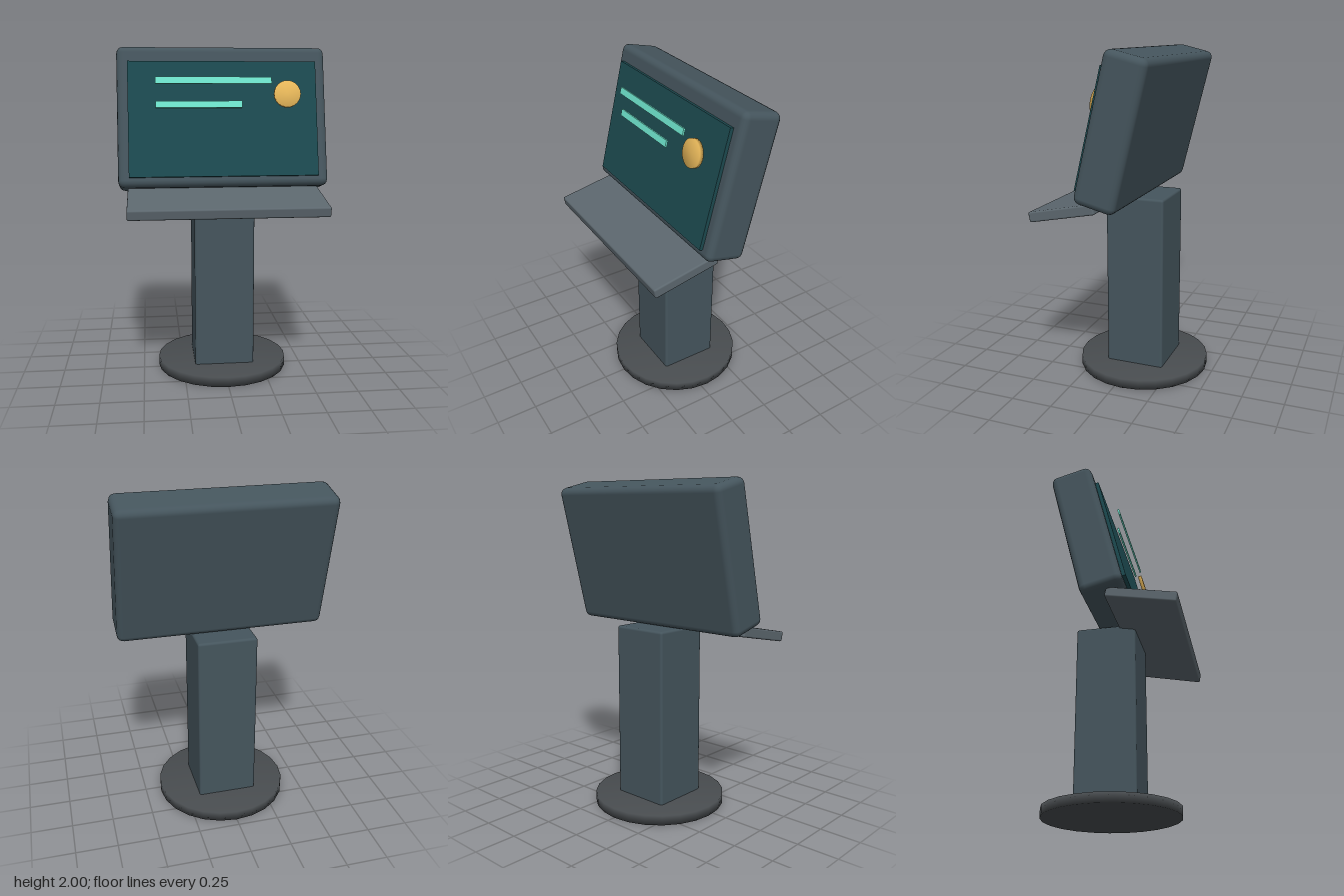
import * as THREE from 'three';
import { RoundedBoxGeometry } from 'three/addons/geometries/RoundedBoxGeometry.js';
import { mergeVertices } from 'three/addons/utils/BufferGeometryUtils.js';

const HEAD_TILT = -0.24; // leans back
const SHELF_TILT = 0.2; // slopes down to the front

const paint = (color) => new THREE.MeshStandardMaterial({ color });

// Disc with normals shared across the rim, for a soft pillowy shading
function softDisc(radius, height) {
  const g = new THREE.CylinderGeometry(radius, radius, height, 24);
  g.deleteAttribute('normal');
  g.deleteAttribute('uv');
  const soft = mergeVertices(g);
  soft.computeVertexNormals();
  return soft;
}

export function createModel() {
  const model = new THREE.Group();
  model.name = 'kiosk';
  const casing = paint(0x45555d);
  const glow = paint(0x70e8d0);

  function add(name, geometry, material, x, y, z, tilt = 0) {
    const mesh = new THREE.Mesh(geometry, material);
    mesh.name = name;
    mesh.position.set(x, y, z);
    mesh.rotation.x = tilt;
    model.add(mesh);
    return mesh;
  }

  // Stand
  add('base', softDisc(0.405, 0.058), paint(0x484c4f), 0, 0.029, -0.045);
  add('column', new RoundedBoxGeometry(0.365, 1.08, 0.362, 2, 0.015), casing, 0, 0.587, -0.045);

  // Sloping shelf below the display
  add('shelf', new RoundedBoxGeometry(1.155, 0.061, 0.409, 2, 0.01), paint(0x5c676e), 0, 1.1, 0.243, SHELF_TILT);

  // Display housing and its screen, slightly proud of the front
  const housing = add('housing', new RoundedBoxGeometry(1.265, 0.851, 0.251, 2, 0.04), casing, 0, 1.563, -0.071, HEAD_TILT);
  const screen = new THREE.Mesh(new THREE.BoxGeometry(1.135, 0.695, 0.04), paint(0x1c4a50));
  screen.name = 'screen';
  screen.position.set(0, -0.022, 0.127);
  housing.add(screen);

  // Floating bars: left end, width, height above ground
  for (const [name, width, y] of [['upperBar', 0.69, 1.8], ['lowerBar', 0.515, 1.66]]) {
    add(name, new THREE.BoxGeometry(width, 0.04, 0.011), glow, -0.405 + width / 2, y, 0.085, HEAD_TILT);
  }

  // Round button, facing along the tilted display
  add('button', softDisc(0.08, 0.024), paint(0xe8b85a), 0.38, 1.72, 0.09, Math.PI / 2 + HEAD_TILT);

  return model;
}
